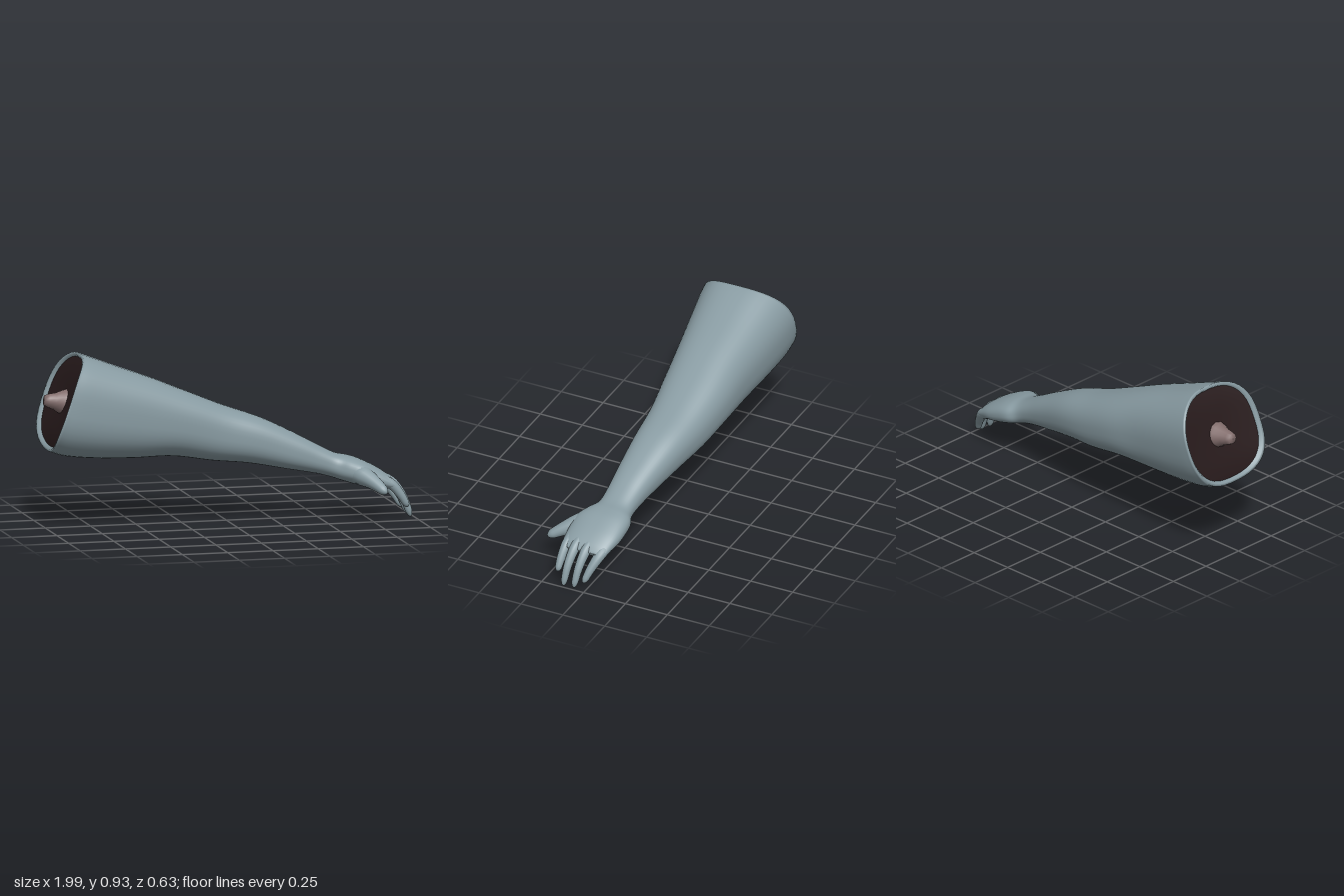
import * as THREE from 'three';

const skin = new THREE.MeshStandardMaterial({ color: 0x899ca3 });
skin.name = 'grey blue skin';
const flesh = new THREE.MeshStandardMaterial({ color: 0x281b1c });
flesh.name = 'dark flesh';
const boneColour = new THREE.MeshStandardMaterial({ color: 0x836e6d });
boneColour.name = 'bone';

// Skin over closed rings of points, with optional closing points at the ends
function loft(rings, startPoint, endPoint) {
  const n = rings[0].length, pos = [], index = [];
  rings.forEach(r => r.forEach(p => pos.push(p.x, p.y, p.z)));
  for (let i = 0; i < rings.length - 1; i++) {
    for (let j = 0; j < n; j++) {
      const a = i * n + j, b = i * n + (j + 1) % n;
      index.push(a, b, a + n, b, b + n, a + n);
    }
  }
  const close = (p, base, flip) => {
    const c = pos.length / 3;
    pos.push(p.x, p.y, p.z);
    for (let j = 0; j < n; j++) {
      const a = base + j, b = base + (j + 1) % n;
      index.push(c, flip ? b : a, flip ? a : b);
    }
  };
  if (startPoint) close(startPoint, 0, true);
  if (endPoint) close(endPoint, (rings.length - 1) * n, false);
  const g = new THREE.BufferGeometry();
  g.setAttribute('position', new THREE.Float32BufferAttribute(pos, 3));
  g.setIndex(index);
  g.computeVertexNormals();
  return g;
}

function add(group, name, geometry, material) {
  const mesh = new THREE.Mesh(geometry, material);
  mesh.name = name;
  group.add(mesh);
  return mesh;
}

// Arm sections: top x, y, bottom x, y, back z, front z, side bulge, top skew
const SECTIONS = [
  [-0.80, 0.935, -0.985, 0.42, -0.313, 0.24, 0.042, -0.02],
  [-0.74, 0.914, -0.90, 0.392, -0.306, 0.230, 0.03, -0.015],
  [-0.60, 0.86, -0.74, 0.372, -0.285, 0.203, 0.01, -0.01],
  [-0.40, 0.785, -0.52, 0.362, -0.258, 0.168, 0, -0.005],
  [-0.20, 0.702, -0.30, 0.361, -0.243, 0.14, 0, 0],
  [0.00, 0.62, -0.08, 0.328, -0.212, 0.119, 0, 0],
  [0.20, 0.548, 0.12, 0.308, -0.172, 0.115, 0, 0],
  [0.40, 0.45, 0.33, 0.27, -0.118, 0.112, 0, 0],
  [0.52, 0.385, 0.47, 0.245, -0.088, 0.11, 0, 0],
  [0.60, 0.347, 0.56, 0.223, -0.08, 0.118, 0, 0],
  [0.66, 0.334, 0.62, 0.203, -0.102, 0.16, 0, 0],
  [0.72, 0.316, 0.68, 0.185, -0.105, 0.193, 0, 0],
  [0.80, 0.277, 0.75, 0.17, -0.098, 0.197, 0, 0],
  [0.86, 0.238, 0.815, 0.162, -0.08, 0.197, 0, 0],
  [0.89, 0.208, 0.862, 0.158, -0.066, 0.195, 0, 0],
  [0.90, 0.193, 0.882, 0.166, -0.055, 0.187, 0, 0],
];
const SIDES = 44;
const track = pick => new THREE.CatmullRomCurve3(
  SECTIONS.map(s => new THREE.Vector3(...pick(s))), false, 'catmullrom', 0.5);
const tops = track(s => [s[0], s[1], s[4]]);
const bottoms = track(s => [s[2], s[3], s[5]]);
const extras = track(s => [s[6], s[7], 0]);

// One oval ring of the arm, squarest at its upper front, shrunk by k and sunk along x
function armRing(t, k = 1, sink = 0) {
  const top = tops.getPoint(t), bot = bottoms.getPoint(t), ex = extras.getPoint(t);
  return Array.from({ length: SIDES }, (_, j) => {
    const a = (j + 0.5) / SIDES * Math.PI * 2;
    const cos = Math.cos(a), sin = -Math.sin(a);
    const power = sin < 0 ? 0.84 : cos > 0 ? 0.66 + 0.16 * t : 0.86;
    const c = Math.sign(cos) * Math.abs(cos) ** power * k;
    const s = Math.sign(sin) * Math.abs(sin) ** power * k;
    return new THREE.Vector3(
      (top.x + bot.x) / 2 + s * (top.x - bot.x) / 2 - ex.x * (1 - s ** 4) + sink,
      (top.y + bot.y) / 2 + s * (top.y - bot.y) / 2,
      (top.z + bot.z) / 2 + c * (bot.z - top.z) / 2 + ex.y * s);
  });
}

function middle(ring) {
  return ring.reduce((m, p) => m.add(p), new THREE.Vector3()).divideScalar(ring.length);
}

// Tapering digit with a rounded tip, along a path
function digit(points, radii) {
  const path = new THREE.CatmullRomCurve3(points.map(p => new THREE.Vector3(...p)));
  const steps = 24, rings = [], up = new THREE.Vector3(0, 1, 0);
  for (let i = 0; i < steps; i++) {
    const t = 1 - (1 - i / steps) ** 1.5;
    const f = t * (radii.length - 1), k = Math.floor(f);
    let r = THREE.MathUtils.lerp(radii[k], radii[Math.min(k + 1, radii.length - 1)], f - k);
    if (t > 0.87) r *= Math.sqrt(1 - ((t - 0.87) / 0.13) ** 2);
    const c = path.getPoint(t), dir = path.getTangent(t);
    const u = up.clone().cross(dir).normalize(), w = dir.clone().cross(u);
    rings.push(Array.from({ length: 16 }, (_, j) => {
      const a = j / 16 * Math.PI * 2;
      return c.clone().addScaledVector(u, r * Math.cos(a)).addScaledVector(w, r * Math.sin(a));
    }));
  }
  return loft(rings, null, path.getPoint(1));
}

export function createModel() {
  const group = new THREE.Group();
  group.name = 'severedArm';

  // Arm and palm in one skin, with the edge of the cut rolled inwards
  const rings = [armRing(0, 0.91, 0.022), armRing(0, 0.95, 0.004)];
  const count = 75;
  for (let i = 0; i <= count; i++) rings.push(armRing(i / count));
  add(group, 'armAndPalm', loft(rings, null, middle(rings[rings.length - 1])), skin);

  // Shallow cut face
  const bowl = [0.15, 0.35, 0.55, 0.75, 0.91].map(k =>
    armRing(0, k, 0.022 + 0.02 * (1 - (k / 0.91) ** 2)));
  add(group, 'cutFlesh', loft(bowl, middle(bowl[0])), flesh);

  // Bone stub, flared where it leaves the flesh
  const profile = [[0.08, 0], [0.075, 0.075], [0.064, 0.105], [0.046, 0.14],
    [0.037, 0.175], [0.028, 0.197], [0, 0.2]].map(p => new THREE.Vector2(...p));
  const bone = add(group, 'bone', new THREE.LatheGeometry(profile, 12), boneColour);
  bone.position.set(-0.8, 0.662, -0.04);
  bone.rotation.z = Math.PI / 2 - 0.14;

  // Fingers and thumb
  const taper = [0.028, 0.028, 0.023, 0.017];
  add(group, 'indexFinger', digit([[0.81, 0.222, 0.16], [0.872, 0.186, 0.167],
    [0.922, 0.125, 0.174], [0.957, 0.064, 0.177]], taper), skin);
  add(group, 'middleFinger', digit([[0.82, 0.228, 0.10], [0.885, 0.19, 0.11],
    [0.945, 0.11, 0.121], [0.985, 0.003, 0.129]], taper), skin);
  add(group, 'ringFinger', digit([[0.82, 0.226, 0.035], [0.885, 0.189, 0.045],
    [0.945, 0.11, 0.057], [0.985, 0.008, 0.067]], taper), skin);
  add(group, 'littleFinger', digit([[0.79, 0.216, -0.055], [0.868, 0.18, -0.036],
    [0.925, 0.112, -0.006], [0.965, 0.038, 0.02]], [0.034, 0.031, 0.024, 0.017]), skin);
  add(group, 'thumb', digit([[0.65, 0.26, 0.08], [0.715, 0.238, 0.165],
    [0.765, 0.205, 0.24], [0.806, 0.165, 0.312]], [0.05, 0.053, 0.037, 0.022]), skin);

  return group;
}
